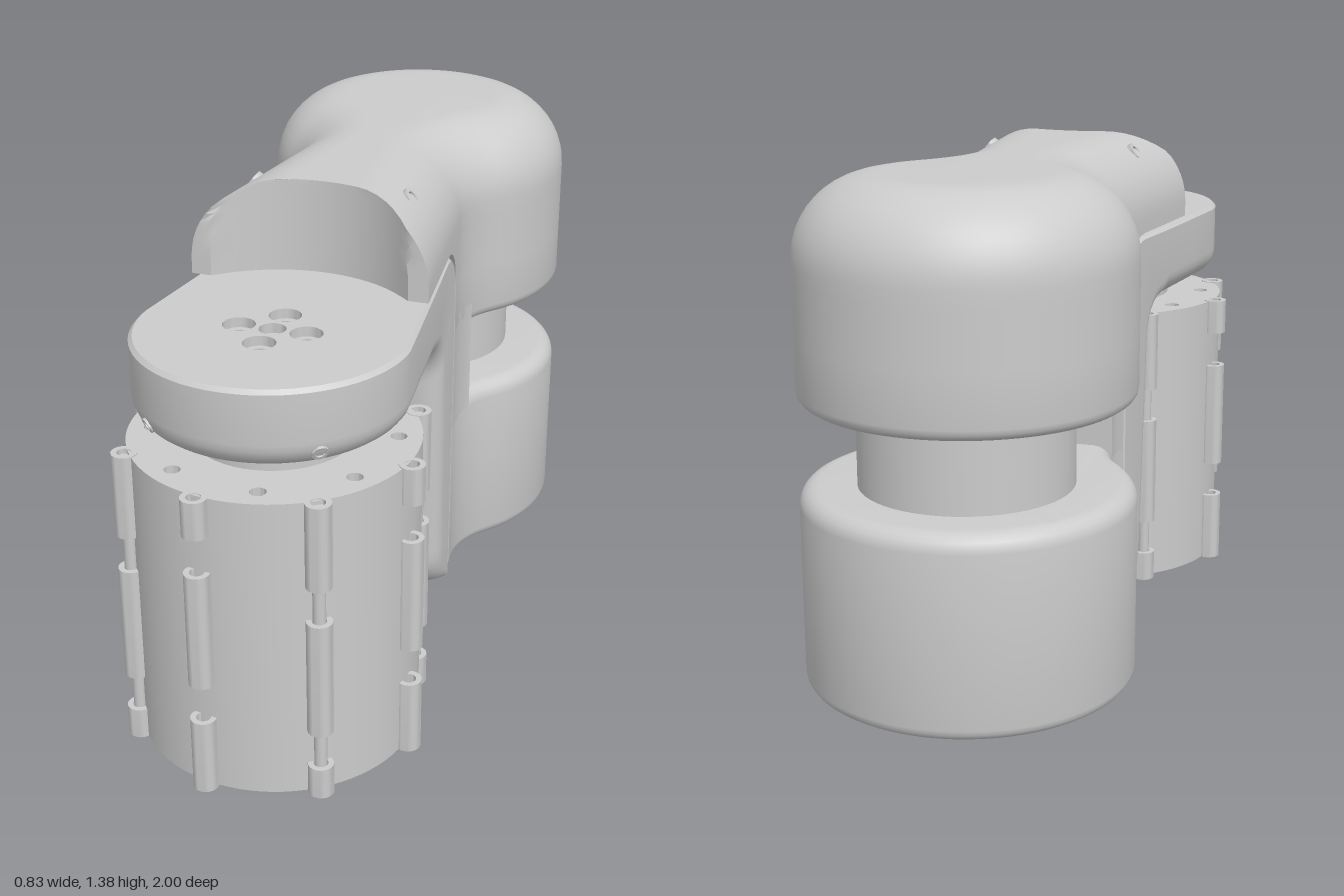
import * as THREE from 'three';
import { toCreasedNormals } from 'three/addons/utils/BufferGeometryUtils.js';

const grey = new THREE.MeshStandardMaterial({ color: 0xcccccc });
const greyThin = new THREE.MeshStandardMaterial({ color: 0xcccccc, side: THREE.DoubleSide });

function add(parent, name, geometry, x = 0, y = 0, z = 0, material = grey) {
  const mesh = new THREE.Mesh(geometry, material);
  mesh.name = name;
  mesh.position.set(x, y, z);
  parent.add(mesh);
  return mesh;
}

// Skin a list of closed rings; caps are [ring index, faces up]; the closing strip can be left out at the start
function loft(rings, caps, openStrips = 0) {
  const n = rings[0].length, index = [];
  for (let s = 0; s < rings.length - 1; s++) {
    for (let i = 0; i < n; i++) {
      if (i === n - 1 && s < openStrips) continue;
      const j = (i + 1) % n, a = s * n + i, b = s * n + j;
      index.push(a, b, b + n, a, b + n, a + n);
    }
  }
  for (const [r, up] of caps) {
    const flat = rings[r].map(([x, , z]) => new THREE.Vector2(x, -z));
    for (const [a, b, c] of THREE.ShapeUtils.triangulateShape(flat, [])) {
      index.push(r * n + a, r * n + (up ? b : c), r * n + (up ? c : b));
    }
  }
  const g = new THREE.BufferGeometry();
  g.setAttribute('position', new THREE.Float32BufferAttribute(rings.flat(2), 3));
  g.setIndex(index);
  return toCreasedNormals(g, 0.6);
}

// Hollow tube standing on y0
function tube(rOut, rIn, y0, y1) {
  const p = [[rIn, y0], [rOut, y0], [rOut, y1], [rIn, y1], [rIn, y0]];
  return toCreasedNormals(new THREE.LatheGeometry(p.map(([r, y]) => new THREE.Vector2(r, y)), 20), 0.7);
}

// Plan shape: tapered neck, concave waist, round bulb
const BULB = { z: -0.587, r: 0.413 }, WAIST = { x: 0.504, z: -0.15, r: 0.254 };
const neckWidth = z => 0.252 + 0.12 * (z + 0.119);
const scoop = x => Math.min(0.36, 0.6 - Math.sqrt(0.35 ** 2 - x * x));

// Right half of the plan, inset by d, ordered from front centre to back centre
function halfPlan(d, front) {
  const pts = [];
  let zf = 0.3;
  for (let i = 0; i < 12; i++) zf = front(neckWidth(zf) - d);
  const xf = neckWidth(zf) - d;
  for (let i = 0; i <= 12; i++) pts.push([xf * i / 12, front(xf * i / 12)]);
  const r = WAIST.r + d, zEnd = WAIST.z + 0.122 * r;
  for (let i = 1; i < 5; i++) {
    const z = zf + (zEnd - zf) * i / 5;
    pts.push([neckWidth(z) - d, z]);
  }
  for (let i = 0; i <= 10; i++) {
    const a = 0.122 - 0.836 * i / 10;
    pts.push([WAIST.x - r * Math.cos(a), WAIST.z + r * Math.sin(a)]);
  }
  for (let i = 1; i <= 28; i++) {
    const b = 0.714 - (0.714 + Math.PI / 2) * i / 28;
    pts.push([i === 28 ? 0 : (BULB.r - d) * Math.cos(b), BULB.z + (BULB.r - d) * Math.sin(b)]);
  }
  return pts;
}
const mirrorRing = (half, y) => [
  ...half.map(([x, z]) => [x, y, z]),
  ...half.slice(1, -1).reverse().map(([x, z]) => [-x, y, z]),
];
const planRing = (y, d, front) => mirrorRing(halfPlan(d, front), y);

function buildBody(group) {
  const wall = z => () => z;
  // Upper head: bulb bottom, curved throat, ledge, then the big top rounding
  const head = [];
  for (let i = 0; i <= 4; i++) {
    const a = i / 4 * Math.PI / 2;
    head.push(planRing(0.87 - 0.03 * Math.cos(a), 0.03 * (1 - Math.sin(a)), wall(-0.086)));
  }
  for (let i = 0; i <= 8; i++) {
    const a = i / 8 * Math.PI / 2;
    head.push(planRing(1.0 + 0.14 * Math.sin(a), 0, wall(0.054 - 0.14 * Math.cos(a))));
  }
  head.push(planRing(1.14, 0, scoop));
  for (let i = 0; i <= 12; i++) {
    const a = i / 12 * Math.PI / 2;
    head.push(planRing(1.18 + 0.2 * Math.sin(a), 0.2 * (1 - Math.cos(a)), scoop));
  }
  add(group, 'upperHead', loft(head, [[0, false], [head.length - 1, true]]));

  // Lower pod: hollow and open at the bottom
  const pod = [planRing(0.57, 0.035, wall(-0.11)), planRing(0.12, 0.035, wall(-0.11))];
  for (let i = 0; i <= 4; i++) {
    const a = i / 4 * Math.PI / 2;
    pod.push(planRing(0.15 - 0.03 * Math.cos(a), 0.03 * (1 - Math.sin(a)), wall(-0.086)));
  }
  for (let i = 0; i <= 5; i++) {
    const a = i / 5 * Math.PI / 2;
    pod.push(planRing(0.58 + 0.045 * Math.sin(a), 0.045 * (1 - Math.cos(a)), wall(-0.086)));
  }
  add(group, 'lowerPod', loft(pod, [[0, false], [pod.length - 1, true]]));

  // Spine joining the two, with a rib reaching the core
  const half = halfPlan(0, wall(-0.086)).filter(p => p[1] > -0.228);
  half.push([half[half.length - 1][0] + 0.003, -0.23], [0, -0.23]);
  add(group, 'spine', loft([mirrorRing(half, 0.57), mirrorRing(half, 0.9)], []));
  add(group, 'spineRib', new THREE.BoxGeometry(0.24, 0.26, 0.2), 0, 0.73, -0.3);
  add(group, 'core', new THREE.CylinderGeometry(0.267, 0.267, 0.27, 56), 0, 0.73, -0.6);

  // Clips inside the pod, screw sockets on the head
  for (const s of [-1, 1]) {
    add(group, 'podClip', new THREE.BoxGeometry(0.03, 0.08, 0.05), s * 0.36, 0.2, -0.6);
    const screw = add(group, 'headScrew', tube(0.027, 0.016, -0.02, 0.003), s * 0.21, 1.338, 0.18);
    screw.rotation.z = -s * 0.91;
  }
}

function buildBracket(group) {
  const R = 0.338, TOP = 1.13;
  // Rounded-edge section: [inset, depth] pairs from the outer to the inner face
  const section = th => {
    const f = Math.min(0.07, th * 0.8), e = Math.min(0.01, th * 0.1), out = [[e, 0], [0, e]];
    for (let i = 0; i <= 6; i++) {
      const a = i / 6 * Math.PI / 2;
      out.push([f * (1 - Math.cos(a)), th - f + f * Math.sin(a)]);
    }
    return out;
  };
  const both = half => [...half, ...half.slice().reverse().map(([x, y, z]) => [-x, y, z])];
  const station = (oz, oy, iz, iy) => {
    const th = Math.hypot(iz - oz, iy - oy);
    return both(section(th).map(([d, h]) => {
      const z = oz + (iz - oz) * h / th;
      return [neckWidth(z) - d, oy + (iy - oy) * h / th, z];
    }));
  };
  const rings = [];
  // Round front end
  for (let i = 0; i <= 18; i++) {
    const a = (1 - i / 18) * Math.PI / 2, c = i ? Math.cos(a) : 0;
    rings.push(both(section(0.205).map(([d, h]) => [(R - d) * c, TOP - h, 0.6 + (R - d) * Math.sin(a)])));
  }
  for (const z of [0.45, 0.35, 0.25]) rings.push(station(z, TOP, z, 0.925));
  const flatEnd = rings.length - 1;
  // Elbow, leg and rounded foot
  for (let i = 0; i <= 10; i++) {
    const a = i / 10 * Math.PI / 2, s = Math.sin(a), c = Math.cos(a);
    rings.push(station(0.05 - 0.13 * s, 1.0 + 0.13 * c, 0.24 - 0.12 * s, 0.805 + 0.12 * c));
  }
  for (let i = 0; i <= 8; i++) {
    const a = i / 8 * Math.PI / 2, y = 0.27 - 0.15 * Math.sin(a);
    rings.push(station(-0.08, y, -0.05 + 0.15 * Math.cos(a), y));
  }
  add(group, 'bracket', loft(rings, [[rings.length - 1, false]], flatEnd));

  // Top face with screw holes
  const edge = rings.slice(0, flatEnd + 1).map(r => r[0]);
  const outline = [...edge, ...edge.slice(1).reverse().map(([x, y, z]) => [-x, y, z])];
  const face = new THREE.Shape(outline.map(([x, , z]) => new THREE.Vector2(x, -z)));
  for (const [x, z, r] of [[0, 0, 0.033], [0.085, 0, 0.04], [-0.085, 0, 0.04], [0, 0.085, 0.04], [0, -0.085, 0.04]]) {
    face.holes.push(new THREE.Path().absarc(x, -0.6 - z, r, 0, Math.PI * 2, true));
    const profile = [[0, -0.06], [r * 0.6, -0.06], [r * 0.6, -0.025], [r, -0.025], [r, 0]].map(p => new THREE.Vector2(...p));
    add(group, 'screwHole', toCreasedNormals(new THREE.LatheGeometry(profile, 24), 0.6), x, TOP, 0.6 + z, greyThin);
  }
  add(group, 'bracketTop', new THREE.ShapeGeometry(face, 24).rotateX(-Math.PI / 2), 0, TOP, 0);

  // Screw sockets in the front edge
  for (const s of [-1, 1]) {
    const screw = add(group, 'edgeScrew', tube(0.02, 0.012, -0.02, 0.003), s * 0.21, 0.965, 0.856);
    screw.quaternion.setFromUnitVectors(new THREE.Vector3(0, 1, 0), new THREE.Vector3(s * 0.57, -0.43, 0.7).normalize());
  }
}

function buildDrum(group) {
  // Drum with small holes through both ends
  const disc = new THREE.Shape().absarc(0, 0, 0.358, 0, Math.PI * 2);
  for (let i = 0; i < 8; i++) {
    const a = (i + 0.5) * Math.PI / 4 + 0.15;
    disc.holes.push(new THREE.Path().absarc(0.3 * Math.cos(a), -0.3 * Math.sin(a), 0.02, 0, Math.PI * 2, true));
  }
  const drum = new THREE.ExtrudeGeometry(disc, { depth: 0.8, bevelEnabled: false, curveSegments: 40 });
  add(group, 'drum', toCreasedNormals(drum.rotateX(-Math.PI / 2), 0.6), 0, 0.06, 0);
  add(group, 'hub', new THREE.CylinderGeometry(0.2, 0.2, 0.1, 48), 0, 0.9, 0);
  add(group, 'shaft', tube(0.063, 0.032, 0, 0.07));
  add(group, 'shaftCollar', tube(0.12, 0.1, 0.055, 0.07));

  // Hinge knuckles around the rim, alternating two layouts
  const layouts = [
    [[0.06, 0.26], [0.36, 0.665], [0.765, 0.862]],
    [[0.06, 0.143], [0.24, 0.548], [0.642, 0.862]],
  ];
  for (let i = 0; i < 8; i++) {
    const a = 0.15 + i * Math.PI / 4, x = 0.368 * Math.cos(a), z = 0.368 * Math.sin(a);
    for (const [y0, y1] of layouts[i % 2]) add(group, 'hingeKnuckle', tube(0.032, 0.018, y0, y1), x, 0, z);
    if (i % 2) add(group, 'hingePin', new THREE.CylinderGeometry(0.016, 0.016, 0.78, 14), x, 0.46, z);
  }
}

export function createModel() {
  const model = new THREE.Group();
  for (const [name, build, z] of [['body', buildBody, 0], ['bracketArm', buildBracket, 0], ['drumUnit', buildDrum, 0.6]]) {
    const part = new THREE.Group();
    part.name = name;
    part.position.z = z;
    build(part);
    model.add(part);
  }
  return model;
}
